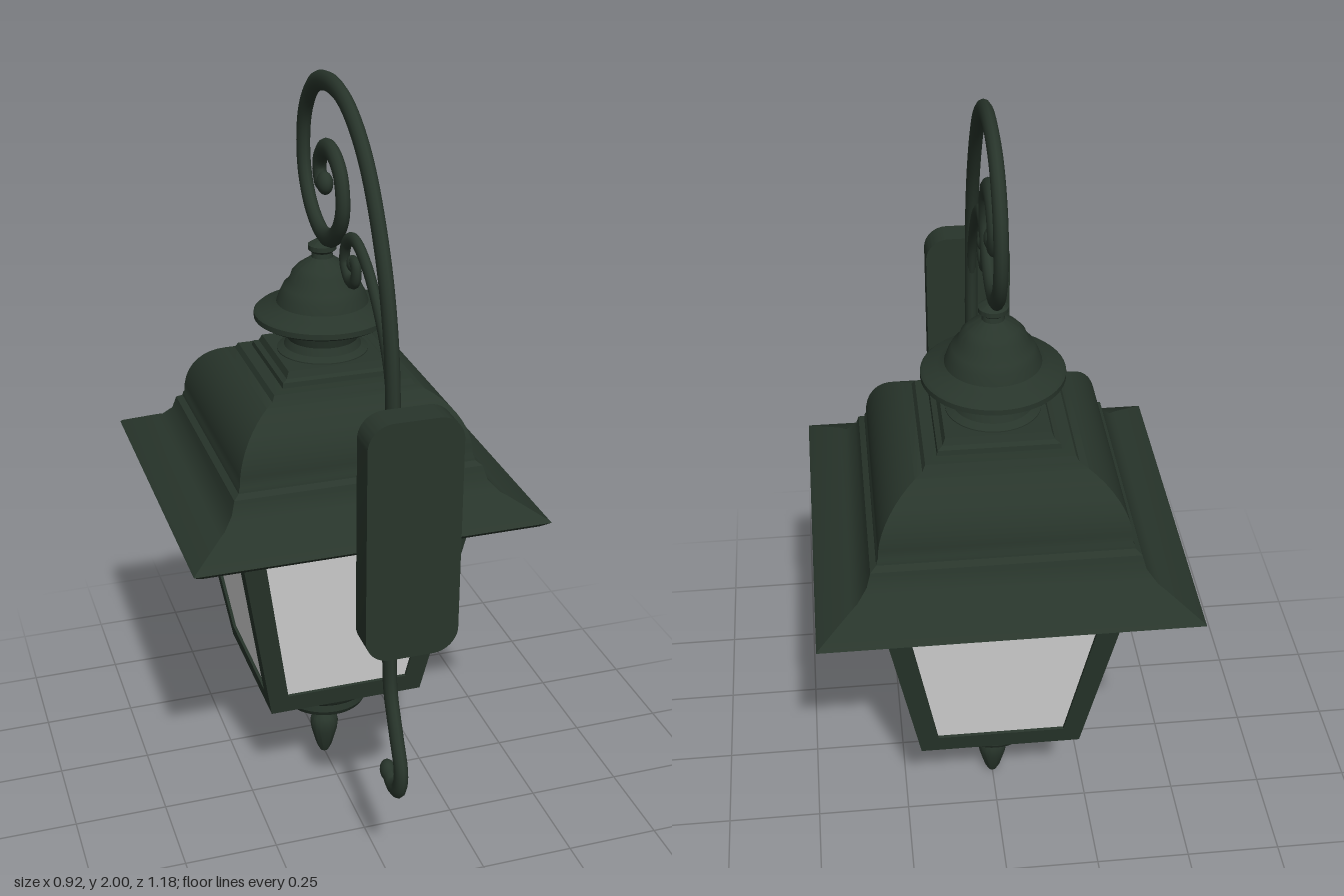
import * as THREE from 'three';
import { toCreasedNormals } from 'three/addons/utils/BufferGeometryUtils.js';

const darkGreen = new THREE.MeshStandardMaterial({ color: 0x28352b });
darkGreen.name = 'dark green metal';
const glass = new THREE.MeshStandardMaterial({ color: 0xdadada, side: THREE.DoubleSide });
glass.name = 'frosted glass';

const LANTERN_Z = -0.125;

function add(parent, name, geometry, material = darkGreen) {
  const mesh = new THREE.Mesh(geometry, material);
  mesh.name = name;
  parent.add(mesh);
  return mesh;
}

// Turned profile, listed from bottom to top as [radius, y]
function turned(profile, segments = 48) {
  const pts = profile.map(([r, y]) => new THREE.Vector2(r, y));
  return toCreasedNormals(new THREE.LatheGeometry(pts, segments), 0.6);
}

// Square profile, listed from bottom to top as [half width, y]
function squareTurned(profile) {
  const pts = profile.map(([h, y]) => new THREE.Vector2(h * Math.SQRT2, y));
  return toCreasedNormals(new THREE.LatheGeometry(pts, 4, Math.PI / 4), 0.5);
}

function trapezoid(ShapeType, y0, half0, y1, half1) {
  const s = new ShapeType();
  s.moveTo(-half0, y0);
  s.lineTo(half0, y0);
  s.lineTo(half1, y1);
  s.lineTo(-half1, y1);
  s.closePath();
  return s;
}

// Flattened scroll through [z, y] points, with a bead on chosen ends
function scroll(parent, name, points, radius, beads) {
  const scrollGroup = new THREE.Group();
  scrollGroup.name = name;
  scrollGroup.scale.x = 0.7;
  const path = new THREE.CatmullRomCurve3(points.map(([z, y]) => new THREE.Vector3(0, y, z)), false, 'centripetal');
  add(scrollGroup, name + 'Bar', new THREE.TubeGeometry(path, 200, radius, 12));
  for (const [z, y, r] of beads) {
    add(scrollGroup, name + 'Bead', new THREE.SphereGeometry(r, 20, 14)).position.set(0, y, z);
  }
  parent.add(scrollGroup);
}

function buildLantern() {
  const lantern = new THREE.Group();
  lantern.name = 'lantern';
  lantern.position.z = LANTERN_Z;

  // Four tilted window frames with glass
  const tilt = Math.atan2(0.101, 0.59);
  const frameShape = trapezoid(THREE.Shape, 0, 0.212, 0.598, 0.313);
  frameShape.holes.push(trapezoid(THREE.Path, 0.054, 0.167, 0.538, 0.245));
  const frameGeo = new THREE.ExtrudeGeometry(frameShape, { depth: 0.016, bevelEnabled: false });
  frameGeo.translate(0, 0, -0.016);
  const paneGeo = new THREE.ShapeGeometry(trapezoid(THREE.Shape, 0.045, 0.172, 0.547, 0.253));
  for (let i = 0; i < 4; i++) {
    const side = new THREE.Group();
    side.name = 'windowSide';
    side.rotation.y = i * Math.PI / 2;
    const panel = new THREE.Group();
    panel.name = 'windowPanel';
    panel.position.set(0, 0.31, 0.212);
    panel.rotation.x = tilt;
    add(panel, 'windowFrame', frameGeo);
    add(panel, 'windowPane', paneGeo, glass).position.z = -0.008;
    side.add(panel);
    lantern.add(side);
  }
  add(lantern, 'floorPlate', new THREE.BoxGeometry(0.42, 0.02, 0.42)).position.y = 0.32;

  // Flared square roof: eave, cove, dome and stepped top
  const roof = [[0, 0.9], [0.44, 0.9], [0.462, 0.918], [0.455, 0.924], [0.375, 0.966],
    [0.36, 0.972], [0.335, 1.0], [0.325, 1.035], [0.31, 1.045], [0.308, 1.055]];
  for (let i = 0; i <= 10; i++) {
    const a = (i / 10) * 1.35;
    roof.push([0.155 + 0.15 * Math.cos(a), 1.06 + 0.165 * Math.sin(a)]);
  }
  roof.push([0.18, 1.235], [0.15, 1.237], [0.148, 1.25], [0.135, 1.255], [0.128, 1.272], [0, 1.272]);
  add(lantern, 'roof', squareTurned(roof));

  // Neck, disc and bell above the roof
  add(lantern, 'roofCap', turned([[0.118, 1.26], [0.118, 1.275], [0.1, 1.285], [0.092, 1.305], [0.1, 1.33],
    [0.125, 1.348], [0.165, 1.355], [0.176, 1.362], [0.176, 1.376], [0.168, 1.383], [0.135, 1.39],
    [0.118, 1.402], [0.11, 1.425], [0.1, 1.445], [0.085, 1.46], [0.078, 1.48], [0.062, 1.497],
    [0.045, 1.508], [0.028, 1.52], [0.026, 1.532], [0.036, 1.54], [0.036, 1.552], [0.02, 1.562], [0, 1.564]]));

  // Stepped base and drop finial
  add(lantern, 'baseFinial', turned([[0, 0], [0.012, 0.004], [0.022, 0.025], [0.037, 0.08], [0.04, 0.105],
    [0.036, 0.125], [0.026, 0.138], [0.026, 0.15], [0.032, 0.165], [0.052, 0.175], [0.085, 0.182],
    [0.09, 0.195], [0.115, 0.2], [0.123, 0.215], [0.12, 0.238], [0.13, 0.242], [0.145, 0.255],
    [0.152, 0.275], [0.17, 0.28], [0.176, 0.29], [0.176, 0.312]]));
  return lantern;
}

function buildBracket() {
  const bracket = new THREE.Group();
  bracket.name = 'wallBracket';

  // Wall plate with rounded corners
  const w = 0.115, y0 = 0.765, y1 = 1.38, r = 0.062;
  const plate = new THREE.Shape();
  plate.absarc(w - r, y1 - r, r, 0, Math.PI / 2, false);
  plate.absarc(r - w, y1 - r, r, Math.PI / 2, Math.PI, false);
  plate.absarc(r - w, y0 + r, r, Math.PI, Math.PI * 1.5, false);
  plate.absarc(w - r, y0 + r, r, Math.PI * 1.5, Math.PI * 2, false);
  const plateGeo = new THREE.ExtrudeGeometry(plate, { depth: 0.075, bevelEnabled: false, curveSegments: 8 });
  add(bracket, 'wallPlate', toCreasedNormals(plateGeo, 0.6)).position.z = 0.515;

  // Struts between plate and arm
  for (const y of [0.967, 1.19]) {
    const strut = add(bracket, 'strut', new THREE.CylinderGeometry(0.012, 0.012, 0.1, 16));
    strut.rotation.x = Math.PI / 2;
    strut.position.set(0, y, 0.475);
  }

  // Main arm from the lower hook to the large spiral
  scroll(bracket, 'mainArm', [[0.435, 0.325], [0.475, 0.308], [0.518, 0.328], [0.532, 0.385], [0.49, 0.475],
    [0.445, 0.57], [0.432, 0.666], [0.432, 0.9], [0.432, 1.13], [0.43, 1.32], [0.405, 1.505], [0.342, 1.68],
    [0.22, 1.86], [0.077, 1.955], [-0.06, 1.975], [-0.19, 1.94], [-0.273, 1.843], [-0.28, 1.715],
    [-0.22, 1.626], [-0.114, 1.582], [-0.013, 1.61], [0.045, 1.684], [0.029, 1.77], [-0.04, 1.812],
    [-0.109, 1.8], [-0.146, 1.753], [-0.13, 1.712], [-0.1, 1.715]], 0.0245,
  [[0.435, 0.325, 0.029], [-0.1, 1.717, 0.029]]);

  // Small branch scroll
  scroll(bracket, 'branchScroll', [[0.427, 1.32], [0.39, 1.435], [0.31, 1.546], [0.22, 1.62], [0.14, 1.647],
    [0.077, 1.62], [0.061, 1.568], [0.098, 1.536], [0.146, 1.55], [0.15, 1.588], [0.125, 1.59]], 0.0175,
  [[0.125, 1.585, 0.021]]);
  return bracket;
}

export function createModel() {
  const model = new THREE.Group();
  model.name = 'wallLantern';
  model.add(buildLantern(), buildBracket());
  return model;
}
